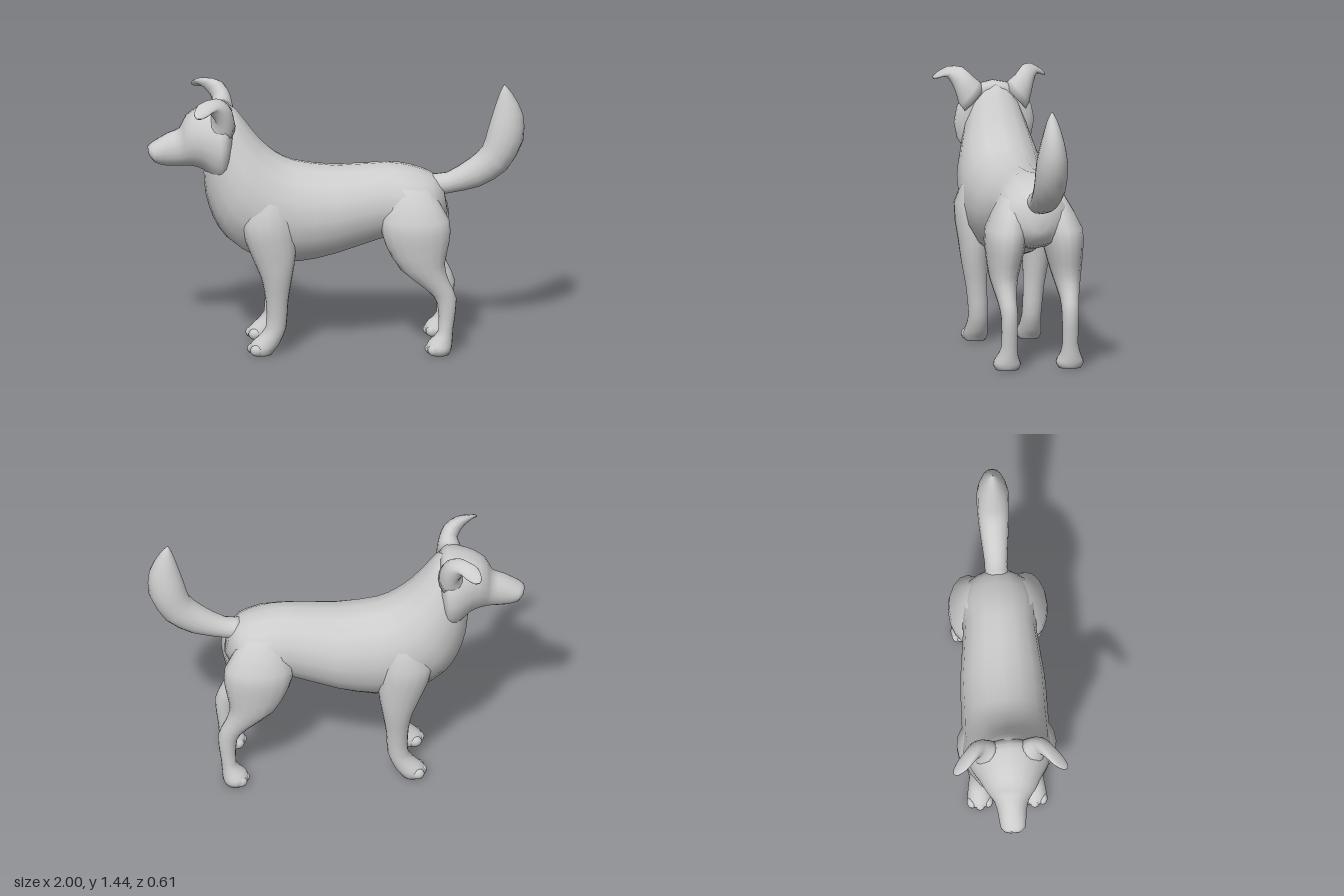
import * as THREE from 'three';

const SIDES = 16;

// Skin through sections [ax, ay, az, bx, by, bz, half width]: a and b are opposite
// edges of an oval ring, widened along the axis "across".
function loft(name, sections, material, across, mirror = 1, sub = 2) {
  const a = new THREE.CatmullRomCurve3(sections.map(s => new THREE.Vector3(s[0], s[1], s[2])), false, 'catmullrom', 0.4);
  const b = new THREE.CatmullRomCurve3(sections.map(s => new THREE.Vector3(s[3], s[4], s[5])), false, 'catmullrom', 0.4);
  const w = new THREE.CatmullRomCurve3(sections.map(s => new THREE.Vector3(s[6], 0, 0)), false, 'catmullrom', 0.4);
  const rings = (sections.length - 1) * sub;
  const pos = [], idx = [];
  const put = p => pos.push(p.x, p.y, p.z * mirror);
  for (let i = 0; i <= rings; i++) {
    const t = i / rings, pa = a.getPoint(t), pb = b.getPoint(t), half = w.getPoint(t).x;
    const mid = pa.clone().add(pb).multiplyScalar(0.5), u = pa.clone().sub(mid);
    for (let j = 0; j < SIDES; j++) {
      const k = j / SIDES * Math.PI * 2;
      put(mid.clone().addScaledVector(u, Math.cos(k)).addScaledVector(across, Math.sin(k) * half));
    }
  }
  for (let i = 0; i < rings; i++) for (let j = 0; j < SIDES; j++) {
    const p = i * SIDES + j, q = i * SIDES + (j + 1) % SIDES;
    idx.push(p, q, p + SIDES, q, q + SIDES, p + SIDES);
  }
  // Close both ends
  for (const i of [0, rings]) {
    const c = pos.length / 3;
    put(a.getPoint(i / rings).add(b.getPoint(i / rings)).multiplyScalar(0.5));
    for (let j = 0; j < SIDES; j++) {
      const p = i * SIDES + j, q = i * SIDES + (j + 1) % SIDES;
      if (i) idx.push(c, p, q); else idx.push(c, q, p);
    }
  }
  // Turn the faces outward if the enclosed volume is negative
  const v = i => new THREE.Vector3().fromArray(pos, i * 3);
  let volume = 0;
  for (let i = 0; i < idx.length; i += 3) volume += v(idx[i]).dot(v(idx[i + 1]).cross(v(idx[i + 2])));
  if (volume < 0) idx.reverse();
  const g = new THREE.BufferGeometry();
  g.setAttribute('position', new THREE.Float32BufferAttribute(pos, 3));
  g.setIndex(idx);
  g.computeVertexNormals();
  const mesh = new THREE.Mesh(g, material);
  mesh.name = name;
  return mesh;
}

// Section lying between two side-view points, at depth z
const sec = (ax, ay, bx, by, half, z = 0) => [ax, ay, z, bx, by, z, half];

export function createModel() {
  const dog = new THREE.Group();
  dog.name = 'dog';
  const coat = new THREE.MeshStandardMaterial({ color: 0xcccccc });
  coat.name = 'greyCoat';
  const Z = new THREE.Vector3(0, 0, 1), X = new THREE.Vector3(1, 0, 0);

  // Rump, belly, chest and neck
  dog.add(loft('torso', [
    sec(0.57, 0.90, 0.595, 0.74, 0.06),
    sec(0.51, 0.955, 0.54, 0.66, 0.16),
    sec(0.40, 0.995, 0.40, 0.62, 0.20),
    sec(0.27, 1.015, 0.24, 0.60, 0.195),
    sec(0.00, 1.00, 0.00, 0.52, 0.225),
    sec(-0.22, 1.03, -0.20, 0.475, 0.23),
    sec(-0.32, 1.08, -0.42, 0.50, 0.235),
    sec(-0.40, 1.15, -0.58, 0.61, 0.225),
    sec(-0.47, 1.24, -0.65, 0.72, 0.195),
    sec(-0.53, 1.32, -0.69, 0.85, 0.165),
    sec(-0.58, 1.35, -0.70, 0.97, 0.13),
  ], coat, Z));

  // Muzzle, brow, skull and cheek fur
  dog.add(loft('head', [
    sec(-0.998, 1.115, -0.99, 1.07, 0.035),
    sec(-0.97, 1.14, -0.96, 1.03, 0.065),
    sec(-0.89, 1.19, -0.90, 1.01, 0.075),
    sec(-0.83, 1.215, -0.82, 1.01, 0.09),
    sec(-0.795, 1.285, -0.76, 1.01, 0.13),
    sec(-0.73, 1.33, -0.70, 0.99, 0.165),
    sec(-0.65, 1.355, -0.63, 0.92, 0.205),
    sec(-0.59, 1.36, -0.585, 0.93, 0.215),
    sec(-0.55, 1.33, -0.55, 1.00, 0.14),
  ], coat, Z));

  // Upswept bushy tail
  dog.add(loft('tail', [
    sec(0.49, 0.95, 0.52, 0.83, 0.065),
    sec(0.59, 0.955, 0.61, 0.845, 0.06),
    sec(0.71, 1.03, 0.77, 0.88, 0.075),
    sec(0.78, 1.10, 0.91, 0.97, 0.085),
    sec(0.81, 1.20, 0.997, 1.13, 0.085),
    sec(0.84, 1.30, 0.995, 1.28, 0.06),
    sec(0.87, 1.39, 0.94, 1.39, 0.03),
    sec(0.893, 1.44, 0.90, 1.44, 0.004),
  ], coat, Z));

  for (const [side, m] of [['left', -1], ['right', 1]]) {
    // Raised ear with the tip folded forward and outward
    dog.add(loft(side + 'Ear', [
      [-0.61, 1.33, 0.05, -0.61, 1.19, 0.18, 0.075],
      [-0.60, 1.385, 0.115, -0.60, 1.275, 0.20, 0.05],
      [-0.64, 1.43, 0.165, -0.63, 1.34, 0.22, 0.055],
      [-0.695, 1.425, 0.225, -0.68, 1.375, 0.245, 0.055],
      [-0.725, 1.39, 0.28, -0.715, 1.36, 0.28, 0.04],
      [-0.735, 1.365, 0.305, -0.73, 1.355, 0.30, 0.015],
    ], coat, X, m));

    // Shoulder, foreleg and paw
    dog.add(loft(side + 'FrontLeg', [
      sec(-0.42, 0.95, -0.27, 0.95, 0.06, 0.12),
      sec(-0.51, 0.74, -0.22, 0.76, 0.115, 0.15),
      sec(-0.45, 0.55, -0.215, 0.57, 0.085, 0.165),
      sec(-0.40, 0.43, -0.235, 0.43, 0.07, 0.165),
      sec(-0.375, 0.30, -0.255, 0.30, 0.057, 0.155),
      sec(-0.375, 0.15, -0.265, 0.15, 0.052, 0.145),
      sec(-0.43, 0.085, -0.30, 0.06, 0.06, 0.145),
      sec(-0.465, 0.045, -0.325, 0.025, 0.066, 0.145),
      sec(-0.45, 0.003, -0.34, 0.003, 0.055, 0.145),
    ], coat, Z, m));

    // Haunch, hock and paw
    dog.add(loft(side + 'HindLeg', [
      sec(0.29, 0.92, 0.50, 0.90, 0.06, 0.11),
      sec(0.235, 0.74, 0.60, 0.74, 0.11, 0.15),
      sec(0.26, 0.61, 0.60, 0.62, 0.10, 0.16),
      sec(0.34, 0.47, 0.575, 0.50, 0.075, 0.17),
      sec(0.48, 0.355, 0.595, 0.41, 0.052, 0.17),
      sec(0.535, 0.28, 0.638, 0.305, 0.045, 0.165),
      sec(0.54, 0.13, 0.62, 0.14, 0.043, 0.165),
      sec(0.495, 0.08, 0.615, 0.06, 0.06, 0.17),
      sec(0.475, 0.045, 0.61, 0.025, 0.075, 0.17),
      sec(0.49, 0.003, 0.60, 0.003, 0.06, 0.17),
    ], coat, Z, m));

    // Toes
    for (const [leg, x, z] of [['Front', -0.437, 0.145], ['Hind', 0.505, 0.17]]) {
      for (const k of [-1, 0, 1]) {
        const toe = new THREE.Mesh(new THREE.SphereGeometry(0.031, 10, 8), coat);
        toe.name = side + leg + 'Toe';
        toe.position.set(x + Math.abs(k) * 0.015, 0.032, (z + k * 0.042) * m);
        toe.scale.set(1.2, 1, 0.9);
        dog.add(toe);
      }
    }
  }
  return dog;
}
